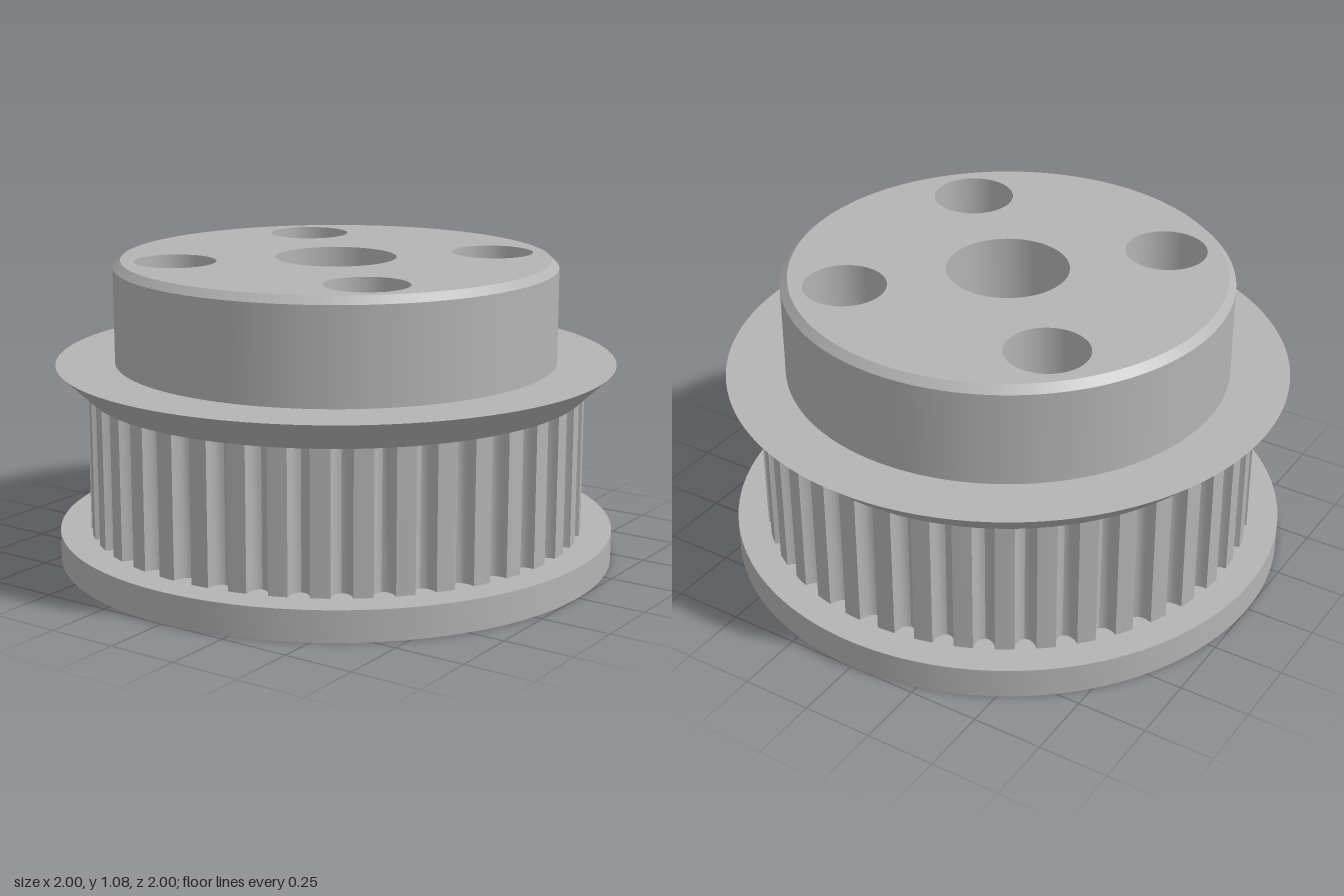
import * as THREE from 'three';
import { toCreasedNormals } from 'three/addons/utils/BufferGeometryUtils.js';

const TEETH = 40, TOOTH_R = 0.89, BORE_R = 0.445, HUB_R = 0.79, CHAMFER = 0.026;
const LEVEL = { rim: 0.11, teeth: 0.61, flange: 0.715, pocket: 0.82, top: 1.08 };

export function createModel() {
  const model = new THREE.Group();
  const steel = new THREE.MeshStandardMaterial({ color: 0xb4b4b4 });
  steel.name = 'grey steel';

  const add = (name, geometry) => {
    const mesh = new THREE.Mesh(geometry, steel);
    mesh.name = name;
    model.add(mesh);
  };

  // Vertical prism between two heights
  const prism = (name, shape, y0, y1) => {
    const g = new THREE.ExtrudeGeometry(shape, { depth: y1 - y0, bevelEnabled: false, curveSegments: 64 });
    g.rotateX(-Math.PI / 2).translate(0, y0, 0);
    add(name, toCreasedNormals(g, 0.55));
  };

  // Turned surface between two radii and heights
  const turned = (name, r0, y0, r1, y1) =>
    add(name, new THREE.LatheGeometry([new THREE.Vector2(r0, y0), new THREE.Vector2(r1, y1)], 128));

  const circle = (r, x = 0, y = 0) => new THREE.Shape().absarc(x, y, r, 0, Math.PI * 2, false);

  // Lower bore with two opposite keyways
  const keyedBore = () => {
    const w = 0.175, d = 0.577, a = Math.asin(w / BORE_R);
    const p = new THREE.Path();
    p.absarc(0, 0, BORE_R, a, Math.PI - a, false);
    p.lineTo(-d, w);
    p.lineTo(-d, -w);
    p.absarc(0, 0, BORE_R, Math.PI + a, Math.PI * 2 - a, false);
    p.lineTo(d, -w);
    p.lineTo(d, w);
    p.closePath();
    return p;
  };

  // Toothed outline: a rounded groove, then a land, for every tooth
  const toothOutline = () => {
    const pts = [], pitch = Math.PI * 2 / TEETH, half = 0.037 / TOOTH_R, depth = 0.055;
    const polar = (r, a) => pts.push(new THREE.Vector2(r * Math.cos(a), r * Math.sin(a)));
    for (let i = 0; i < TEETH; i++) {
      const mid = i * pitch;
      for (let k = 0; k <= 8; k++) {
        const t = Math.PI * k / 8;
        polar(TOOTH_R - depth * Math.sin(t), mid - half * Math.cos(t));
      }
      polar(TOOTH_R, mid + pitch / 2);
    }
    return new THREE.Shape(pts);
  };

  // Lower rim, toothed ring and flange core share the keyed bore
  const keyed = (shape) => { shape.holes.push(keyedBore()); return shape; };
  prism('lowerRim', keyed(circle(1)), 0, LEVEL.rim);
  prism('toothedRing', keyed(toothOutline()), LEVEL.rim, LEVEL.teeth);
  prism('flangeCore', keyed(circle(TOOTH_R)), LEVEL.teeth, LEVEL.flange - 0.005);

  // Conical upper flange
  turned('flangeCone', TOOTH_R, LEVEL.teeth, 1, LEVEL.flange);
  turned('flangeTop', 1, LEVEL.flange, HUB_R, LEVEL.flange);

  // Hub with narrow bore and four blind holes
  const innerR = HUB_R - CHAMFER;
  const hubBase = circle(innerR), hubTop = circle(innerR);
  hubBase.holes.push(circle(0.215));
  hubTop.holes.push(circle(0.215));
  for (const x of [-0.405, 0.405])
    for (const y of [-0.405, 0.405]) hubTop.holes.push(circle(0.145, x, y));
  prism('hubBase', hubBase, LEVEL.flange - 0.005, LEVEL.pocket);
  prism('hubTop', hubTop, LEVEL.pocket, LEVEL.top);
  turned('hubWall', HUB_R, LEVEL.flange, HUB_R, LEVEL.top - CHAMFER);
  turned('hubChamfer', HUB_R, LEVEL.top - CHAMFER, innerR, LEVEL.top);

  return model;
}
